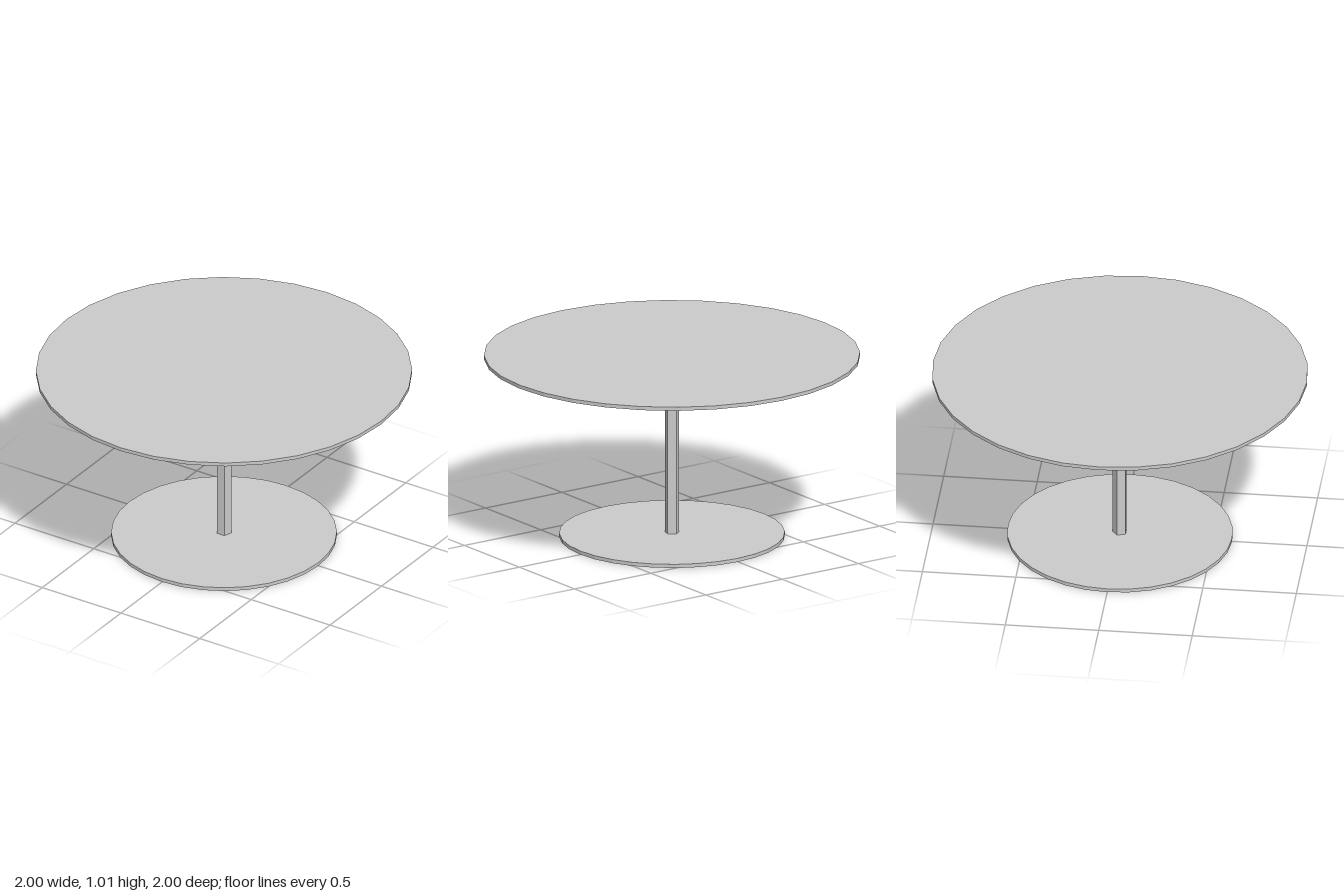
import * as THREE from 'three';

export function createModel() {
  const group = new THREE.Group();
  const material = new THREE.MeshStandardMaterial({ color: 0xcccccc, flatShading: true });

  // Upright prism standing between two heights
  function addPrism(name, radius, bottom, top, sides) {
    const geometry = new THREE.CylinderGeometry(radius, radius, top - bottom, sides);
    const mesh = new THREE.Mesh(geometry, material);
    mesh.name = name;
    mesh.position.y = (bottom + top) / 2;
    group.add(mesh);
    return mesh;
  }

  addPrism('tableTop', 1, 0.99, 1.01, 32);
  addPrism('base', 0.6, 0, 0.02, 32);

  // Five-sided column with a flat face to the front
  const column = addPrism('column', 0.04, 0.02, 0.99, 5);
  column.rotation.y = Math.PI;

  return group;
}
